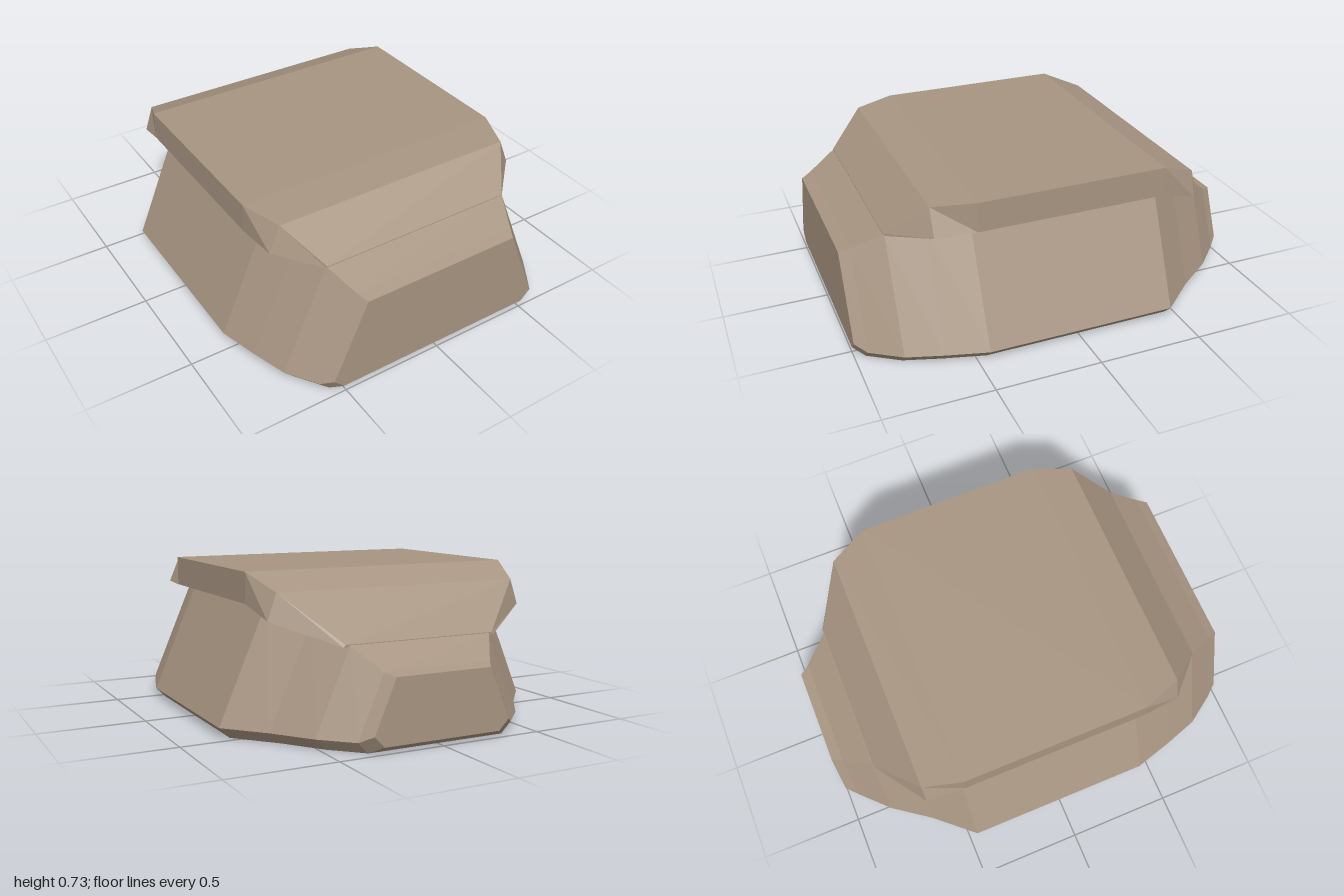
import * as THREE from 'three';

// Closed loft through mirrored sections running from front (+z) to back.
// Each section is { z, right: [[x, y], ...] } with the right half listed upwards.
function loft(sections) {
  const rings = sections.map(({ z, right }) => {
    const left = right.map(([x, y]) => [-x, y]).reverse();
    return [...right, ...left].map(([x, y]) => [x, y, z]);
  });
  const n = rings[0].length;
  const pos = [];
  const tri = (a, b, c) => pos.push(...a, ...b, ...c);
  for (let i = 0; i < rings.length - 1; i++) {
    for (let j = 0; j < n; j++) {
      const k = (j + 1) % n;
      const a = rings[i][j], b = rings[i][k], c = rings[i + 1][j], d = rings[i + 1][k];
      tri(a, c, b);
      tri(b, c, d);
    }
  }
  const front = rings[0], back = rings[rings.length - 1];
  for (let j = 1; j < n - 1; j++) {
    tri(front[0], front[j], front[j + 1]);
    tri(back[0], back[j + 1], back[j]);
  }
  const geo = new THREE.BufferGeometry();
  geo.setAttribute('position', new THREE.Float32BufferAttribute(pos, 3));
  geo.computeVertexNormals();
  return geo;
}

export function createModel() {
  const group = new THREE.Group();
  group.name = 'lowPolyHull';
  const material = new THREE.MeshStandardMaterial({ color: 0xa89582, flatShading: true });
  const add = (name, sections) => {
    const mesh = new THREE.Mesh(loft(sections), material);
    mesh.name = name;
    group.add(mesh);
  };

  // Body: z, base half width, deck height, bottom of the chamfered skirt
  const body = [
    [1, 0.56, 0.46, 0.03],
    [0.95, 0.605, 0.48, 0],
    [0.81, 0.70, 0.555, 0],
    [0.64, 0.755, 0.585, 0],
    [0.45, 0.808, 0.587, 0],
    [-0.46, 0.808, 0.587, 0],
    [-0.64, 0.65, 0.53, 0],
    [-0.82, 0.52, 0.43, 0],
    [-0.95, 0.39, 0.335, 0],
    [-1, 0.34, 0.32, 0.03],
  ];
  add('body', body.map(([z, w, top, bottom]) => {
    const skirt = bottom + 0.05;
    const deck = w - 0.43 * (top - skirt); // walls lean inwards evenly
    return { z, right: [[w - 0.05, bottom], [w, skirt], [deck, top]] };
  }));

  // Overhanging roof: z, lower half width, lower height, upper half width, upper height
  const roof = [
    [0.815, 0.48, 0.545, 0.48, 0.556],
    [0.64, 0.658, 0.585, 0.605, 0.71],
    [0.45, 0.675, 0.585, 0.675, 0.725],
    [-0.455, 0.675, 0.585, 0.675, 0.725],
    [-0.64, 0.652, 0.53, 0.61, 0.65],
    [-0.815, 0.385, 0.425, 0.375, 0.436],
  ];
  add('roof', roof.map(([z, lw, ly, uw, uy]) => ({ z, right: [[lw, ly], [uw, uy]] })));

  return group;
}
